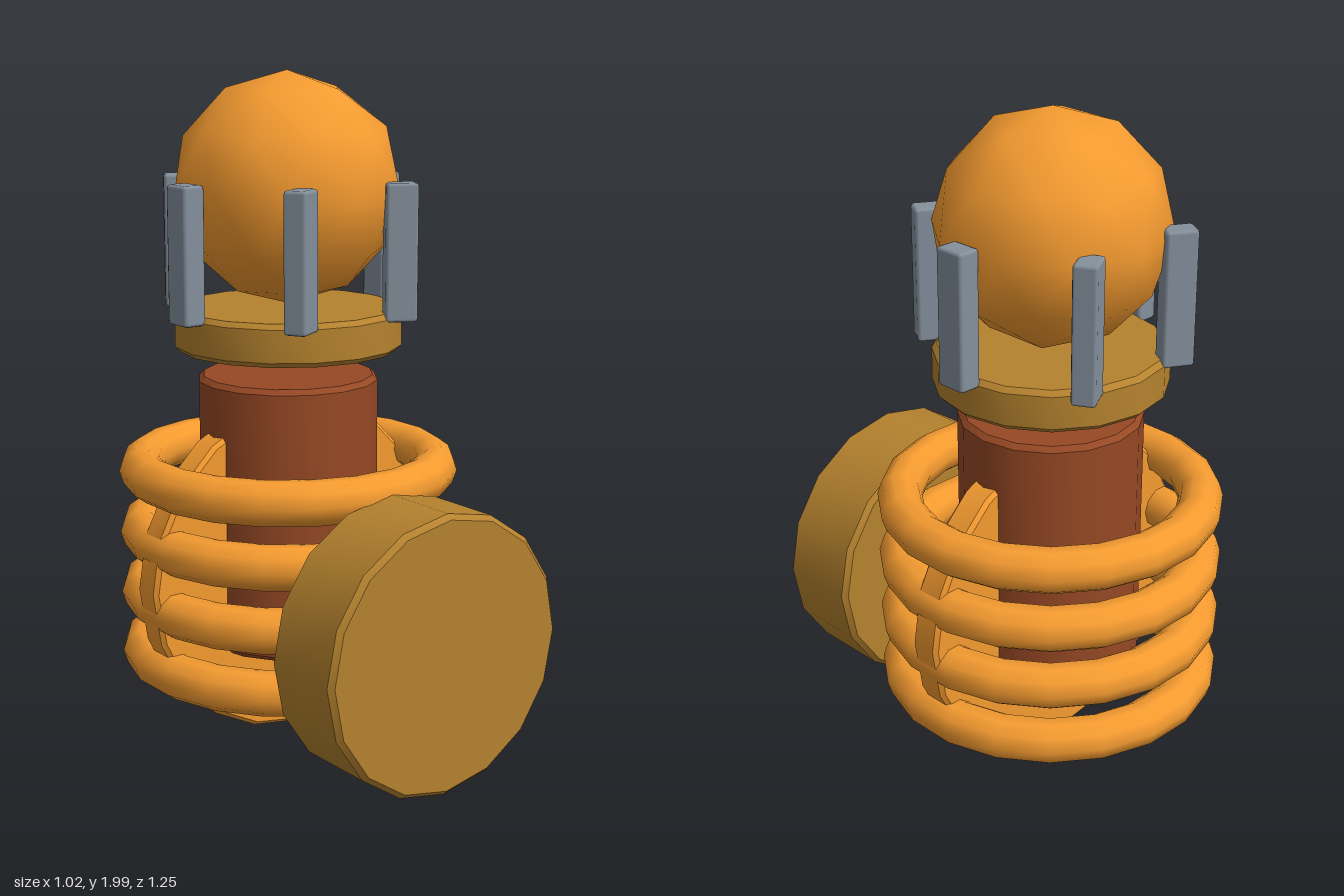
import * as THREE from 'three';
import { toCreasedNormals } from 'three/addons/utils/BufferGeometryUtils.js';
import { RoundedBoxGeometry } from 'three/addons/geometries/RoundedBoxGeometry.js';

const paint = (color) => new THREE.MeshStandardMaterial({ color });
const orange = paint(0xf59b30);
const brass = paint(0xb5822e);
const rust = paint(0x964824);
const steel = paint(0x84909c);

const AXIS_Z = -0.125; // z of the upright axis

// Cylinder with chamfered rims, centred on its own axis
function chamferedCylinder(radius, height, sides, bevel = 0.015) {
  const h = height / 2;
  const profile = [
    [0, -h], [radius - bevel, -h], [radius, -h + bevel],
    [radius, h - bevel], [radius - bevel, h], [0, h],
  ].map(([x, y]) => new THREE.Vector2(x, y));
  return toCreasedNormals(new THREE.LatheGeometry(profile, sides), 0.5);
}

export function createModel() {
  const model = new THREE.Group();
  const add = (name, geometry, material, x, y, z) => {
    const mesh = new THREE.Mesh(geometry, material);
    mesh.name = name;
    mesh.position.set(x, y, z);
    model.add(mesh);
    return mesh;
  };

  // Central core
  add('core', chamferedCylinder(0.27, 0.82, 16), rust, 0, 0.7, AXIS_Z);

  // Upright disc that passes through the core and joins the rings
  const disc = add('uprightDisc', chamferedCylinder(0.51, 0.1, 20, 0.012), orange, 0, 0.52, AXIS_Z);
  disc.rotation.x = Math.PI / 2;

  // Four stacked coil rings, flat sides facing front and back
  const ring = new THREE.TorusGeometry(0.444, 0.066, 10, 20);
  ring.rotateZ(Math.PI / 20).rotateX(Math.PI / 2);
  for (let i = 0; i < 4; i++) {
    add('coilRing' + (i + 1), ring, orange, 0, 0.262 + i * 0.188, AXIS_Z);
  }

  // Front drum
  const drum = add('frontDrum', chamferedCylinder(0.41, 0.27, 16), brass, 0, 0.43, 0.49);
  drum.rotation.x = Math.PI / 2;

  // Collar under the orb
  add('collar', chamferedCylinder(0.34, 0.125, 16), brass, 0, 1.25, AXIS_Z);

  // Orb, turned so that one corner points straight up
  const orb = new THREE.IcosahedronGeometry(0.34, 1);
  orb.rotateZ(-Math.atan(2 / (1 + Math.sqrt(5))));
  add('orb', orb, orange, 0, 1.66, AXIS_Z);

  // Six prongs around the orb
  const prong = new RoundedBoxGeometry(0.07, 0.4, 0.095, 1, 0.01);
  for (let i = 0; i < 6; i++) {
    const a = (i * Math.PI) / 3;
    const mesh = add('prong' + (i + 1), prong, steel,
      0.355 * Math.cos(a), 1.49, AXIS_Z + 0.355 * Math.sin(a));
    mesh.rotation.y = a;
  }

  return model;
}
